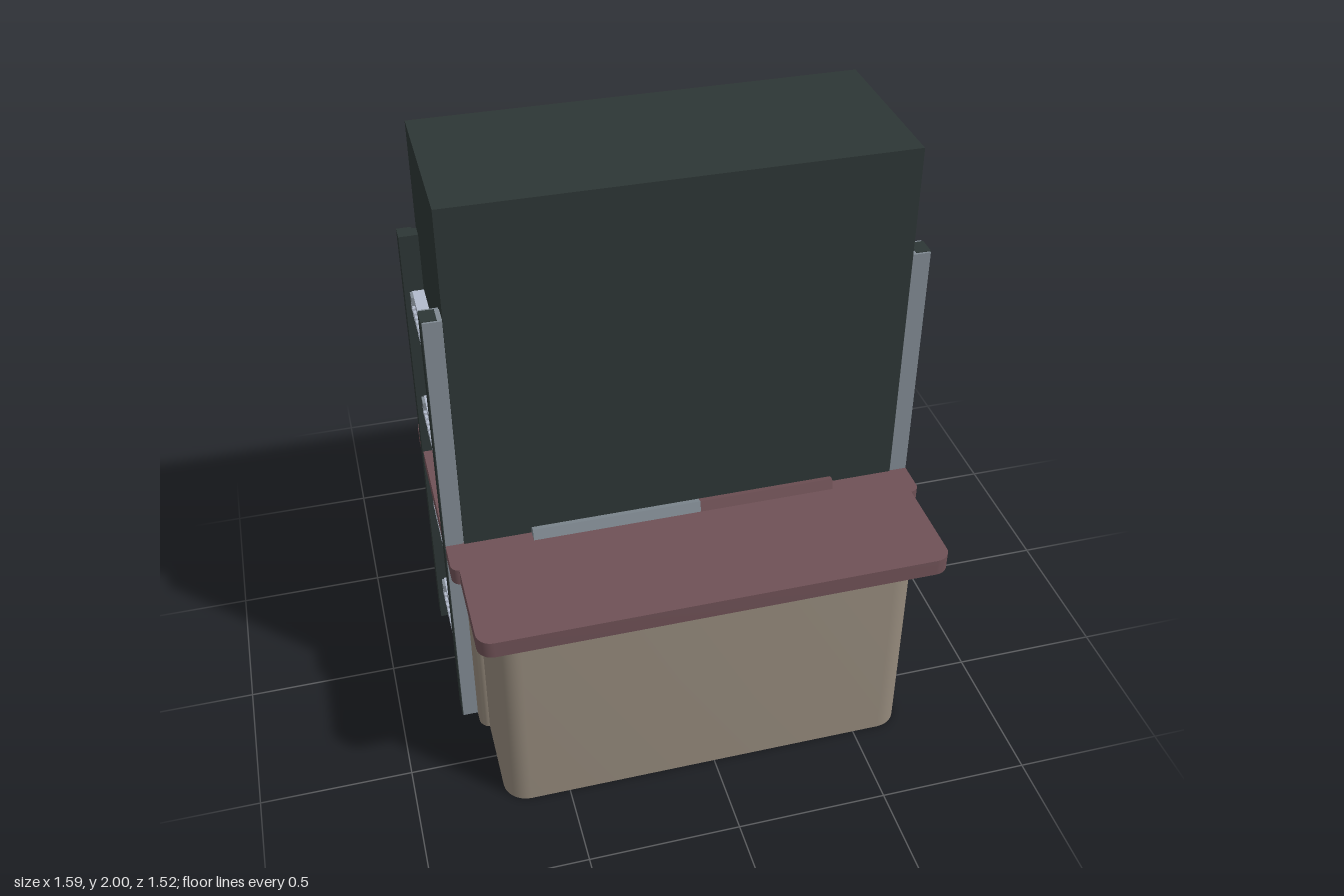
import * as THREE from 'three';
import { toCreasedNormals } from 'three/addons/utils/BufferGeometryUtils.js';

const mat = (name, color) => {
  const m = new THREE.MeshStandardMaterial({ color });
  m.name = name;
  return m;
};

export function createModel() {
  const dark = mat('dark green', 0x2d3635);
  const rose = mat('rose worktop', 0x6f5156);
  const beige = mat('beige base', 0x94897b);
  const pale = mat('pale metal', 0xb3bbcc);
  const grey = mat('grey metal', 0x808a92);

  const root = new THREE.Group();
  root.name = 'serviceCounter';

  const add = (parent, name, geo, m) => {
    const mesh = new THREE.Mesh(geo, m);
    mesh.name = name;
    parent.add(mesh);
    return mesh;
  };
  // Box given by its limits on each axis
  const box = (parent, name, m, x0, x1, y0, y1, z0, z1) => {
    const mesh = add(parent, name, new THREE.BoxGeometry(x1 - x0, y1 - y0, z1 - z0), m);
    mesh.position.set((x0 + x1) / 2, (y0 + y1) / 2, (z0 + z1) / 2);
    return mesh;
  };
  // Upright slab from a plan outline of [x, z, corner radius]
  const slab = (name, m, pts, y0, y1) => {
    const s = new THREE.Shape();
    const v = pts.map(([x, z]) => new THREE.Vector2(x, -z));
    pts.forEach(([, , r], i) => {
      const p = v[i];
      const toward = (q) => q.clone().sub(p).setLength(r).add(p);
      const a = toward(v[(i + pts.length - 1) % pts.length]);
      const b = toward(v[(i + 1) % pts.length]);
      if (i === 0) s.moveTo(a.x, a.y); else s.lineTo(a.x, a.y);
      if (r > 0) {
        // bezier approximation of a quarter circle
        const c = a.clone().lerp(p, 0.552), d = b.clone().lerp(p, 0.552);
        s.bezierCurveTo(c.x, c.y, d.x, d.y, b.x, b.y);
      }
    });
    s.closePath();
    const g = new THREE.ExtrudeGeometry(s, { depth: y1 - y0, bevelEnabled: false, curveSegments: 8 });
    g.rotateX(-Math.PI / 2).translate(0, y0, 0);
    return add(root, name, toCreasedNormals(g, 0.6), m);
  };

  // Base cabinet and worktop
  slab('base', beige, [
    [-0.71, 0.71, 0.08], [0.67, 0.71, 0.08], [0.67, 0.365, 0], [0.74, 0.365, 0.04],
    [0.74, -0.365, 0.04], [0.67, -0.365, 0], [0.67, -0.66, 0.08], [-0.055, -0.66, 0.08],
    [-0.055, -0.385, 0], [-0.74, -0.385, 0.08], [-0.74, 0.365, 0.04], [-0.71, 0.365, 0],
  ], 0, 0.725);
  slab('worktop', rose, [
    [-0.765, 0.76, 0.05], [0.76, 0.76, 0.05], [0.76, 0.415, 0], [0.79, 0.415, 0.03],
    [0.79, -0.425, 0.03], [0.76, -0.425, 0], [0.76, -0.765, 0.05], [-0.105, -0.765, 0.05],
    [-0.105, -0.435, 0], [-0.79, -0.435, 0.07], [-0.79, 0.415, 0.03], [-0.765, 0.415, 0],
  ], 0.725, 0.783);

  // Tall cabinet, open at the back
  const cab = new THREE.Group();
  cab.name = 'tallCabinet';
  root.add(cab);
  box(cab, 'frontPanel', dark, -0.73, 0.73, 0.74, 2, 0.26, 0.292);
  for (const s of [-1, 1]) {
    const a = s * 0.73, b = s * 0.695;
    box(cab, 'sidePanel', dark, Math.min(a, b), Math.max(a, b), 0.74, 2, -0.285, 0.26);
  }
  box(cab, 'topPanel', dark, -0.695, 0.695, 1.96, 2, -0.285, 0.26);
  box(cab, 'header', dark, -0.695, 0.695, 1.77, 1.96, -0.285, -0.25);

  // Small switch plate on the header
  box(cab, 'switchPlate', grey, 0.57, 0.68, 1.9, 1.955, -0.291, -0.285);
  box(cab, 'switchRed', rose, 0.63, 0.67, 1.908, 1.947, -0.295, -0.291);
  box(cab, 'switchPale', beige, 0.58, 0.615, 1.908, 1.947, -0.295, -0.291);

  // Main shelves with a sloping lip and a toothed lower edge
  for (const y of [1.02, 1.435]) {
    const shelf = new THREE.Group();
    shelf.name = 'mainShelf';
    cab.add(shelf);
    box(shelf, 'board', pale, -0.695, 0.695, y - 0.03, y, -0.26, 0.26);
    box(shelf, 'lip', grey, -0.695, 0.695, y - 0.035, y - 0.004, -0.285, -0.26);
    for (let i = 0; i < 46; i++) {
      const x = -0.68 + i * 0.03;
      box(shelf, 'tooth', pale, x, x + 0.015, y - 0.055, y - 0.03, -0.265, -0.25);
    }
  }
  // Set-back shelves with a divider
  for (const y of [1.22, 1.48]) {
    box(cab, 'innerShelf', pale, -0.695, 0.695, y - 0.012, y, -0.155, 0.26);
    box(cab, 'innerShelfEdge', grey, -0.695, 0.695, y - 0.025, y - 0.003, -0.165, -0.155);
    const s = new THREE.Shape([[0.16, 0], [-0.26, 0], [-0.26, 0.065], [0.12, 0.06], [0.15, 0.035]]
      .map(([a, b]) => new THREE.Vector2(a, b)));
    const d = add(cab, 'divider',
      new THREE.ExtrudeGeometry(s, { depth: 0.012, bevelEnabled: false }), grey);
    d.rotation.y = Math.PI / 2;
    d.position.set(-0.03, y, 0);
  }

  // Leaning strip on the worktop in front of the cabinet
  const strip = (name, m, x0, x1) => {
    const s = new THREE.Shape([[-0.292, 0.783], [-0.333, 0.783], [-0.322, 0.818], [-0.3, 0.812]]
      .map(([a, b]) => new THREE.Vector2(-a, b)));
    const g = new THREE.ExtrudeGeometry(s, { depth: x1 - x0, bevelEnabled: false });
    const mesh = add(root, name, g, m);
    mesh.rotation.y = -Math.PI / 2;
    mesh.position.x = x1;
  };
  strip('frontStripGrey', grey, -0.51, 0.05);
  strip('frontStripRose', rose, 0.05, 0.51);

  // Side ladders: dark posts, grey facings and toothed rungs
  for (const s of [-1, 1]) {
    const side = new THREE.Group();
    side.name = s > 0 ? 'leftLadder' : 'rightLadder';
    root.add(side);
    const sb = (name, m, x0, x1, ...r) =>
      box(side, name, m, s > 0 ? x0 : -x1, s > 0 ? x1 : -x0, ...r);
    sb('frontPost', dark, 0.745, 0.793, 0, 1.635, 0.22, 0.282);
    sb('frontPostFacing', grey, 0.732, 0.79, 0, 1.633, 0.282, 0.289);
    sb('frontPostBacking', grey, 0.732, 0.79, 0, 1.633, 0.211, 0.22);
    sb('frontPostFiller', grey, 0.73, 0.745, 0, 1.633, 0.22, 0.282);
    sb('backPost', dark, 0.745, 0.793, 0, 1.635, -0.282, -0.225);
    sb('backPostFiller', dark, 0.73, 0.745, 0, 1.633, -0.275, -0.23);
    for (let i = 0; i < 4; i++) {
      const y = 0.13 + i * 0.415;
      sb('rung', pale, 0.73, 0.768, y, y + 0.058, -0.225, 0.211);
      sb('rungTab', grey, 0.768, 0.777, y + 0.032, y + 0.062, -0.215, -0.175);
      for (let k = 0; k < 14; k++) {
        const z = -0.21 + k * 0.03;
        sb('rungTooth', pale, 0.768, 0.777, y, y + 0.03, z, z + 0.018);
      }
    }
  }
  return root;
}
